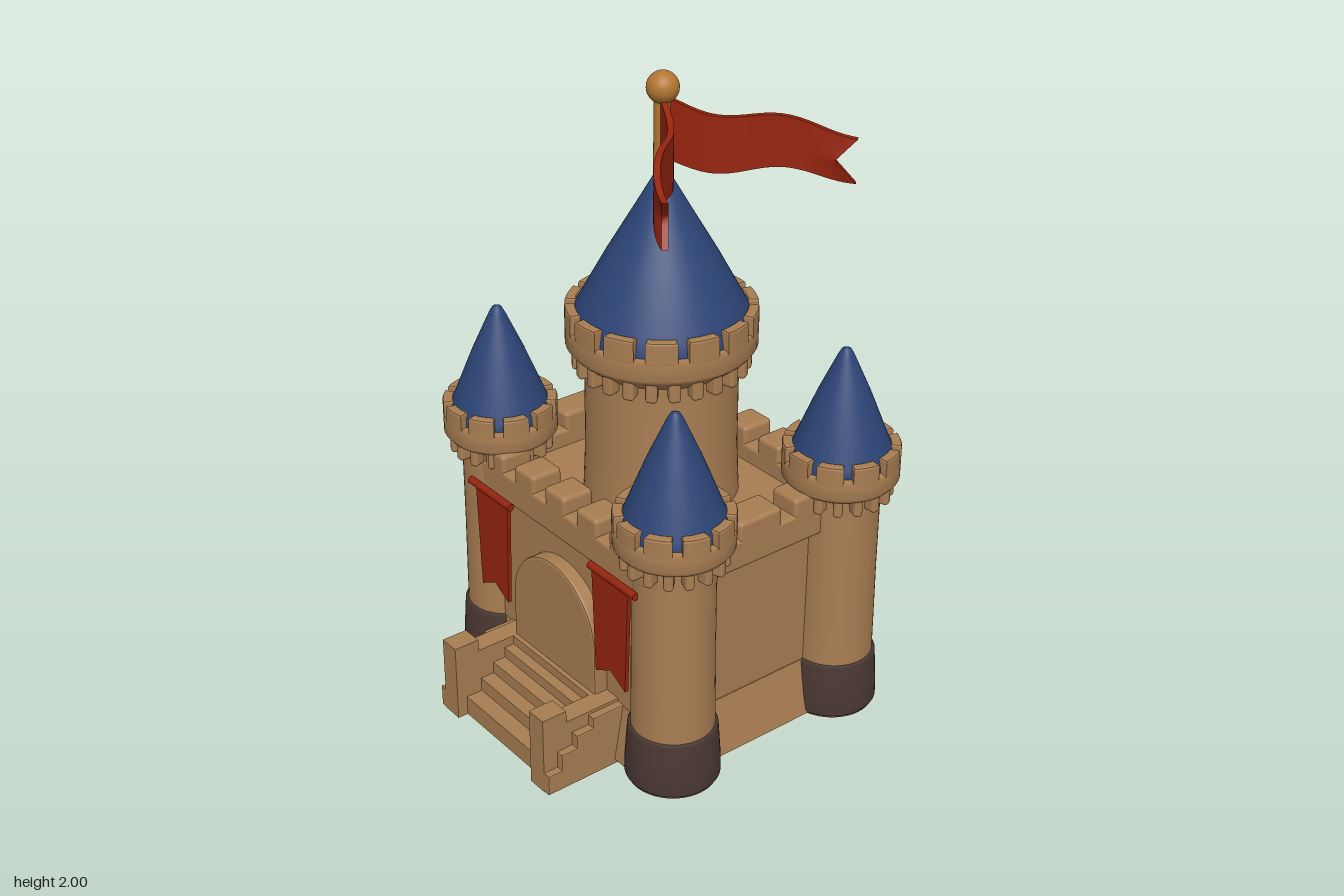
import * as THREE from 'three';
import { RoundedBoxGeometry } from 'three/addons/geometries/RoundedBoxGeometry.js';

function material(name, color) {
  const m = new THREE.MeshStandardMaterial({ color });
  m.name = name;
  return m;
}

export function createModel() {
  const stone = material('stone', 0xa87d52);
  const roofBlue = material('roof blue', 0x2c4476);
  const red = material('cloth red', 0x96240f);
  const dark = material('dark base', 0x4a3833);
  const wood = material('pole wood', 0xb47632);
  const iron = material('iron', 0x51443a);

  const castle = new THREE.Group();
  castle.name = 'castle';

  function add(parent, name, geo, mat, x = 0, y = 0, z = 0, ry = 0) {
    const mesh = new THREE.Mesh(geo, mat);
    mesh.name = name;
    mesh.position.set(x, y, z);
    mesh.rotation.y = ry;
    parent.add(mesh);
    return mesh;
  }
  // box given by its extents
  function block(parent, name, mat, x0, x1, y0, y1, z0, z1, r = 0) {
    const w = x1 - x0, h = y1 - y0, d = z1 - z0;
    const geo = r ? new RoundedBoxGeometry(w, h, d, 2, r) : new THREE.BoxGeometry(w, h, d);
    return add(parent, name, geo, mat, (x0 + x1) / 2, (y0 + y1) / 2, (z0 + z1) / 2);
  }
  const lathe = (pts, n = 48) => new THREE.LatheGeometry(pts.map(p => new THREE.Vector2(...p)), n);
  const extrude = (shape, depth, bevel = 0) => new THREE.ExtrudeGeometry(shape, {
    depth, bevelEnabled: bevel > 0, bevelSize: bevel, bevelThickness: bevel,
    bevelOffset: -bevel, bevelSegments: 2, curveSegments: 24,
  });

  // Flared ring with corbels below and curved merlons on top
  function crown(parent, body, r, yLow, yRing, yNotch, yTop, merlons, corbels) {
    add(parent, 'crownRing', lathe([[body, yLow + 0.03], [r - 0.012, yRing], [r, yRing + 0.015],
      [r, yNotch - 0.008], [r - 0.006, yNotch], [body - 0.02, yNotch]]), stone);
    const step = Math.PI * 2 / merlons, half = step * 0.37;
    const arc = new THREE.Shape();
    arc.absarc(0, 0, r, -half, half, false);
    arc.absarc(0, 0, r - 0.032, half, -half, true);
    const merlon = extrude(arc, yTop - yNotch, 0.007);
    merlon.rotateX(-Math.PI / 2);
    for (let i = 0; i < merlons; i++) {
      add(parent, 'crownMerlon', merlon, stone, 0, yNotch - 0.007, 0, (i + 0.5) * step);
    }
    const h = yRing - yLow + 0.02;
    const corbel = new RoundedBoxGeometry(0.05, h, Math.PI * body / corbels * 1.15, 2, 0.01);
    for (let i = 0; i < corbels; i++) {
      const a = i * Math.PI * 2 / corbels, d = body + 0.01;
      add(parent, 'corbel', corbel, stone, Math.cos(a) * d, yLow + h / 2, -Math.sin(a) * d, a);
    }
  }

  // Wall body, sloping plinth and deck
  block(castle, 'wallBody', stone, -0.43, 0.43, 0.03, 0.7, -0.425, 0.3);
  const plinth = new THREE.BoxGeometry(0.94, 0.18, 0.8);
  const pp = plinth.attributes.position;
  for (let i = 0; i < pp.count; i++) {
    if (pp.getY(i) > 0) pp.setXYZ(i, pp.getX(i) * 0.92, pp.getY(i), pp.getZ(i) * 0.92);
  }
  plinth.computeVertexNormals();
  add(castle, 'plinth', plinth, stone, 0, 0.11, -0.067);

  // Parapets with merlons
  for (const [z0, z1] of [[-0.467, -0.357], [0.225, 0.332]]) {
    block(castle, 'parapet', stone, -0.46, 0.46, 0.66, 0.757, z0, z1, 0.012);
    for (let i = -2; i <= 2; i++) {
      block(castle, 'merlon', stone, i * 0.155 - 0.05, i * 0.155 + 0.05, 0.72, 0.81, z0, z1, 0.014);
    }
  }
  for (const s of [-1, 1]) {
    block(castle, 'sideParapet', stone, s * 0.417 - 0.053, s * 0.417 + 0.053, 0.66, 0.757, -0.46, 0.32, 0.012);
    for (let i = -1; i <= 1; i++) {
      const z = -0.06 + i * 0.21;
      block(castle, 'sideMerlon', stone, s * 0.417 - 0.053, s * 0.417 + 0.053, 0.72, 0.81, z - 0.08, z + 0.08, 0.014);
    }
  }

  // Four corner towers
  for (const x of [-0.425, 0.425]) {
    for (const z of [-0.405, 0.224]) {
      const tower = new THREE.Group();
      tower.name = 'cornerTower';
      tower.position.set(x, 0, z);
      add(tower, 'towerBody', lathe([[0.125, 0.15], [0.122, 0.5], [0.122, 0.8]]), stone);
      add(tower, 'towerBase', lathe([[0, 0.02], [0.136, 0.02], [0.143, 0.03], [0.142, 0.08], [0.134, 0.193],
        [0.128, 0.202], [0.11, 0.202]]), dark);
      add(tower, 'towerFloor', lathe([[0, 0.016], [0.135, 0.016], [0.135, 0.022]]), stone);
      crown(tower, 0.124, 0.175, 0.745, 0.8, 0.872, 0.92, 10, 16);
      add(tower, 'towerRoof', lathe([[0.153, 0.872], [0.15, 0.9], [0.078, 1.08], [0.024, 1.2], [0.014, 1.218], [0, 1.225]]), roofBlue);
      castle.add(tower);
    }
  }

  // Central keep with roof and pole
  const keep = new THREE.Group();
  keep.name = 'keep';
  keep.position.z = -0.067;
  add(keep, 'keepBody', lathe([[0.236, 0.68], [0.228, 0.85], [0.228, 1.2]], 64), stone);
  crown(keep, 0.23, 0.283, 1.11, 1.175, 1.25, 1.31, 14, 24);
  add(keep, 'keepRoof', lathe([[0.262, 1.25], [0.252, 1.3], [0.165, 1.46], [0.08, 1.605], [0.028, 1.695], [0, 1.71]], 64), roofBlue);
  add(keep, 'flagPole', new THREE.CylinderGeometry(0.026, 0.026, 0.26, 24), wood, 0, 1.81);
  add(keep, 'poleBall', new THREE.SphereGeometry(0.047, 32, 20), wood, 0, 1.957);
  castle.add(keep);

  // Two waving swallowtail flags
  function flag(angle, side) {
    const geo = new THREE.BoxGeometry(1, 1, 0.018, 32, 8, 1);
    const p = geo.attributes.position;
    for (let i = 0; i < p.count; i++) {
      const u = p.getX(i) + 0.5, v = p.getY(i);
      const len = 0.525 - 0.06 * (1 - Math.abs(2 * v)) * u ** 3;
      p.setXYZ(i, 0.015 + u * len,
        1.832 - 0.05 * u + 0.013 * Math.sin(u * 9 + 2.5) + v * (0.18 - 0.05 * u),
        p.getZ(i) + side * 0.02 * Math.sin(u * Math.PI * 2));
    }
    geo.computeVertexNormals();
    add(keep, 'flag', geo, red, 0, 0, 0, angle);
  }
  flag(0.765, 1);
  flag(-0.66, -1);

  // Arched doorway
  function archShape(r, y0, yc) {
    const s = new THREE.Shape();
    s.moveTo(-r, y0);
    s.lineTo(r, y0);
    s.lineTo(r, yc);
    s.absarc(0, yc, r, 0, Math.PI, false);
    s.lineTo(-r, y0);
    return s;
  }
  const frame = archShape(0.206, 0.18, 0.366);
  frame.holes.push(archShape(0.146, 0.19, 0.36));
  add(castle, 'doorArch', extrude(frame, 0.075, 0.008), stone, 0, 0, 0.262);
  add(castle, 'door', extrude(archShape(0.15, 0.19, 0.36), 0.03), red, 0, 0, 0.28);
  for (const y of [0.268, 0.42]) {
    block(castle, 'doorStrap', iron, -0.132, 0.132, y - 0.011, y + 0.011, 0.309, 0.317);
  }
  block(castle, 'doorSeam', iron, -0.003, 0.003, 0.21, 0.505, 0.306, 0.312);
  for (const s of [-1, 1]) {
    block(castle, 'doorHandle', iron, s * 0.042 - 0.012, s * 0.042 + 0.012, 0.328, 0.368, 0.309, 0.317);
  }

  // Hanging banners
  for (const s of [-1, 1]) {
    const cloth = new THREE.Shape();
    [[-0.085, 0.67], [-0.07, 0.32], [0, 0.358], [0.07, 0.32], [0.085, 0.67]]
      .forEach(([x, y], i) => (i ? cloth.lineTo(x, y) : cloth.moveTo(x, y)));
    add(castle, 'banner', extrude(cloth, 0.012), red, s * 0.295, 0, 0.342);
    const bar = add(castle, 'bannerBar', new THREE.CylinderGeometry(0.012, 0.012, 0.215, 16), red, s * 0.305, 0.672, 0.35);
    bar.rotation.z = Math.PI / 2;
  }

  // Front stairs, side walls and end posts
  const steps = [[0.215, 0.36], [0.185, 0.394], [0.15, 0.438], [0.11, 0.485], [0.065, 0.54]];
  steps.forEach(([y, z]) => block(castle, 'step', stone, -0.2, 0.2, 0, y, 0.28, z));
  for (const s of [-1, 1]) {
    const x = s * 0.228;
    block(castle, 'stairWall', stone, x - 0.033, x + 0.033, 0, 0.215, 0.28, 0.5);
    block(castle, 'stairPost', stone, x - 0.034, x + 0.034, 0, 0.255, 0.49, 0.574);
    // stepped skirt outside the wall
    const skirt = new THREE.Shape();
    skirt.moveTo(0.28, 0.003);
    [[0.574, 0.003], [0.574, 0.07], [0.525, 0.07], [0.525, 0.125], [0.47, 0.125],
      [0.47, 0.17], [0.41, 0.17], [0.41, 0.205], [0.28, 0.205]].forEach(q => skirt.lineTo(...q));
    add(castle, 'stairSkirt', extrude(skirt, 0.03, 0.004), stone, s * 0.267 + 0.015, 0, 0, -Math.PI / 2);
  }
  return castle;
}
